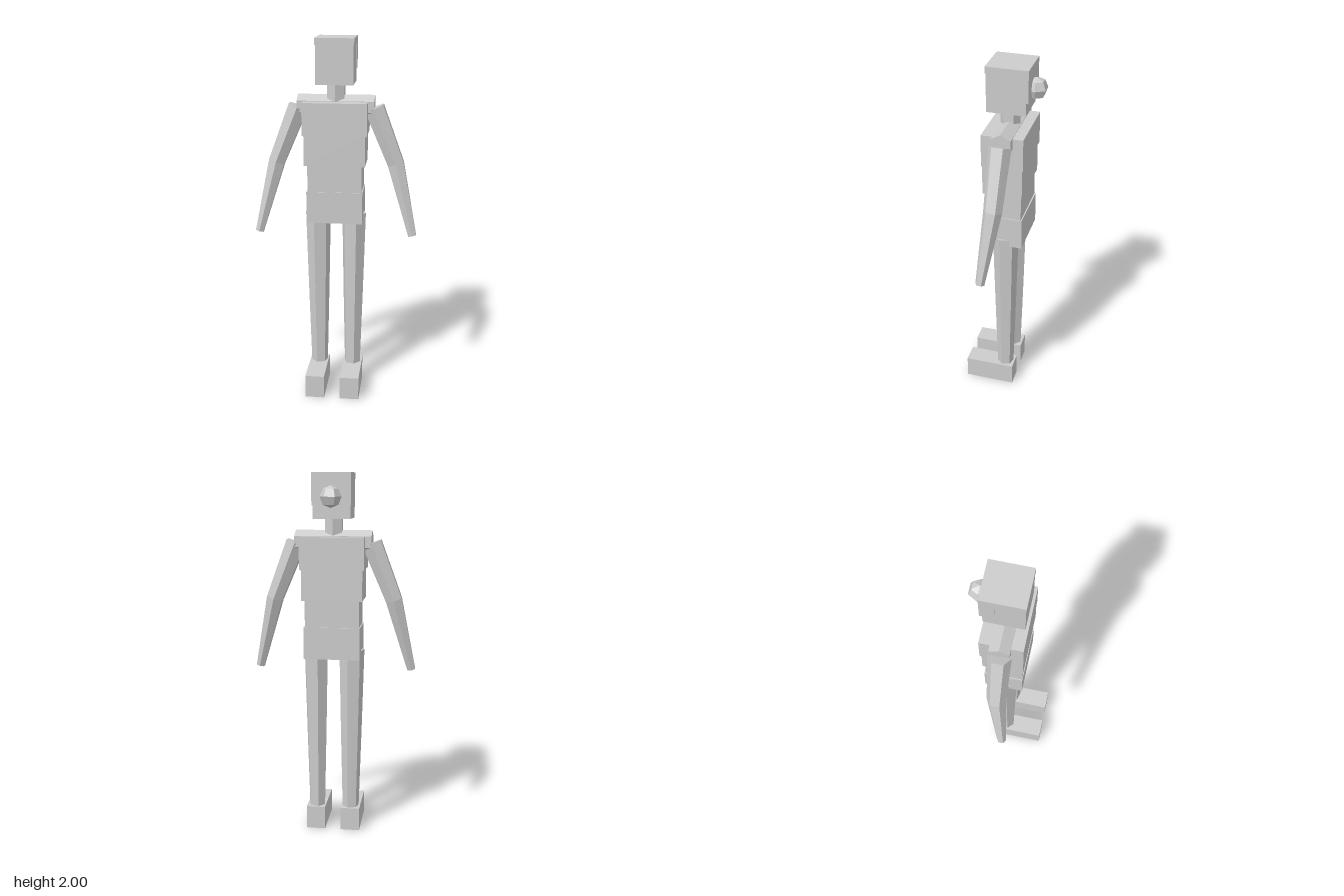
import * as THREE from 'three';

const grey = new THREE.MeshStandardMaterial({ color: 0xcccccc });
grey.name = 'light grey';

export function createModel() {
  const model = new THREE.Group();
  model.name = 'mannequin';

  const add = (name, geometry) => {
    const flat = geometry.index ? geometry.toNonIndexed() : geometry;
    flat.computeVertexNormals();
    const mesh = new THREE.Mesh(flat, grey);
    mesh.name = name;
    model.add(mesh);
    return mesh;
  };

  // Box given by its limits on each axis
  const box = (name, x0, x1, y0, y1, z0, z1) =>
    add(name, new THREE.BoxGeometry(x1 - x0, y1 - y0, z1 - z0))
      .position.set((x0 + x1) / 2, (y0 + y1) / 2, (z0 + z1) / 2);

  // Six-sided tapering limb through joints [x, y, z, radius], running downwards
  const limb = (name, joints, phase, side) => {
    const centres = joints.map((j) => new THREE.Vector3(j[0], j[1], j[2]));
    const rings = joints.map((j, i) => {
      const t = centres[Math.min(i + 1, centres.length - 1)].clone()
        .sub(centres[Math.max(i - 1, 0)]).normalize();
      const u = new THREE.Vector3(-t.y, t.x, 0).normalize();
      const w = new THREE.Vector3().crossVectors(t, u);
      return Array.from({ length: 6 }, (_, k) => {
        const a = phase + (k * Math.PI) / 3;
        return centres[i].clone()
          .addScaledVector(u, j[3] * Math.cos(a))
          .addScaledVector(w, j[3] * Math.sin(a));
      });
    });
    const position = [];
    const tri = (a, b, c) => {
      for (const p of side > 0 ? [a, b, c] : [a, c, b]) position.push(p.x * side, p.y, p.z);
    };
    const last = rings.length - 1;
    for (let k = 0; k < 6; k++) {
      const n = (k + 1) % 6;
      for (let i = 0; i < last; i++) {
        tri(rings[i][k], rings[i][n], rings[i + 1][n]);
        tri(rings[i][k], rings[i + 1][n], rings[i + 1][k]);
      }
      tri(centres[0], rings[0][n], rings[0][k]);
      tri(centres[last], rings[last][k], rings[last][n]);
    }
    const geometry = new THREE.BufferGeometry();
    geometry.setAttribute('position', new THREE.Float32BufferAttribute(position, 3));
    add(name, geometry);
  };

  // Torso
  box('pelvis', -0.153, 0.153, 1.005, 1.18, -0.124, 0.082);
  box('waist', -0.147, 0.147, 1.17, 1.33, -0.117, 0.078);
  box('ribs', -0.165, 0.165, 1.325, 1.5, -0.126, 0.086);
  box('chest', -0.174, 0.174, 1.49, 1.665, -0.133, 0.088);

  // Shoulder bar and neck
  const bar = add('shoulderBar', new THREE.CylinderGeometry(0.06, 0.06, 0.416, 6)
    .rotateY(Math.PI / 6).rotateZ(Math.PI / 2));
  bar.position.set(0, 1.638, -0.025);
  add('neck', new THREE.CylinderGeometry(0.053, 0.053, 0.16, 6)).position.set(0, 1.71, -0.02);

  // Head and hair
  box('head', -0.1, 0.1, 1.76, 1.995, -0.125, 0.08);
  box('hairTop', -0.104, 0.104, 1.965, 2, -0.138, 0.083);
  box('hairBack', -0.104, 0.104, 1.83, 1.97, -0.138, -0.065);
  add('hairBun', new THREE.SphereGeometry(0.058, 6, 4)).position.set(0, 1.875, -0.155);

  // Limbs and feet
  for (const side of [1, -1]) {
    const prefix = side > 0 ? 'left' : 'right';
    limb(prefix + 'Arm', [
      [0.206, 1.63, -0.022, 0.06],
      [0.328, 1.325, -0.018, 0.05],
      [0.427, 0.932, 0.026, 0.025],
    ], Math.PI / 6, side);
    limb(prefix + 'Leg', [
      [0.1, 1.045, -0.022, 0.07],
      [0.098, 0.58, -0.021, 0.059],
      [0.096, 0.1, -0.02, 0.046],
    ], Math.PI / 12, side);
    const x = 0.098 * side;
    box(prefix + 'Foot', x - 0.053, x + 0.053, 0, 0.13, -0.075, 0.206);
  }

  return model;
}
